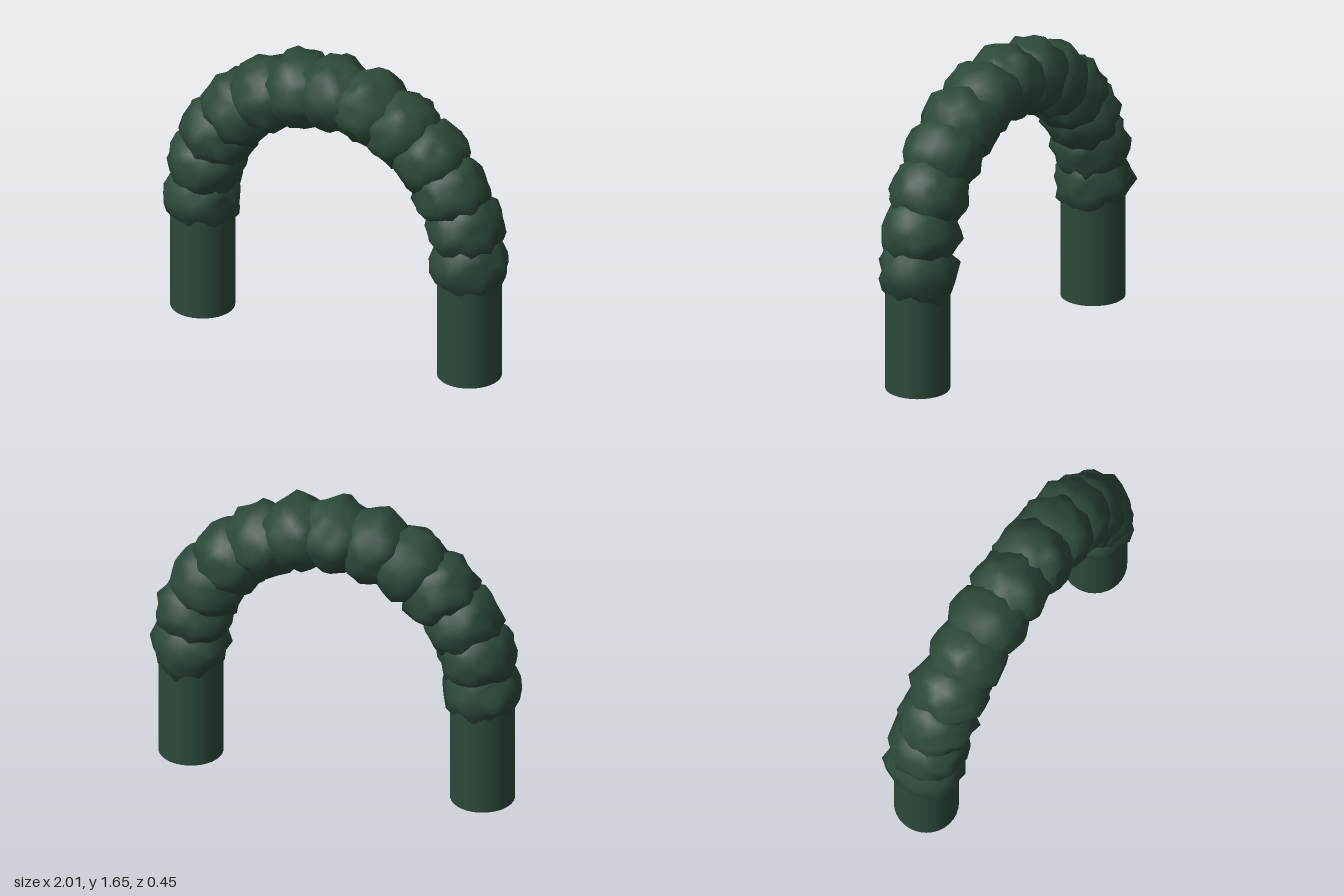
import * as THREE from 'three';
import { mergeVertices } from 'three/addons/utils/BufferGeometryUtils.js';

const ARCH_RADIUS = 0.795, SPRING_Y = 0.655, COUNT = 13;

// Lumpy clump of leaves: a sphere pushed in and out by layered waves
function clumpGeometry(seed) {
  let geo = new THREE.IcosahedronGeometry(1, 3);
  geo.deleteAttribute('uv');
  geo.deleteAttribute('normal');
  geo = mergeVertices(geo, 1e-4);
  const pos = geo.attributes.position, v = new THREE.Vector3();
  for (let i = 0; i < pos.count; i++) {
    v.fromBufferAttribute(pos, i).normalize();
    const wave = Math.sin(v.x * 7 + seed * 1.7) * Math.sin(v.y * 7 + seed * 2.3)
      + Math.sin(v.y * 8 + seed) * Math.sin(v.z * 7 + seed * 0.6)
      + Math.sin(v.z * 8 + seed * 3.1) * Math.sin(v.x * 8 + seed * 0.9);
    v.multiplyScalar(0.202 + 0.012 * wave);
    pos.setXYZ(i, v.x, v.y, v.z);
  }
  geo.computeVertexNormals();
  return geo;
}

export function createModel() {
  const group = new THREE.Group();
  group.name = 'hedgeArch';
  const leaf = new THREE.MeshStandardMaterial({ color: 0x2d4a3a });
  leaf.name = 'darkGreenLeaf';

  // Clipped upright columns
  for (const side of [-1, 1]) {
    const column = new THREE.Mesh(new THREE.CylinderGeometry(0.17, 0.17, SPRING_Y, 32), leaf);
    column.name = side > 0 ? 'leftColumn' : 'rightColumn';
    column.position.set(side * ARCH_RADIUS, SPRING_Y / 2, 0);
    group.add(column);
  }

  // Half ring of overlapping clumps
  for (let i = 0; i < COUNT; i++) {
    const a = Math.PI * i / (COUNT - 1);
    const clump = new THREE.Mesh(clumpGeometry(i * 1.37 + 0.5), leaf);
    clump.name = `archClump${i + 1}`;
    clump.position.set(ARCH_RADIUS * Math.cos(a), SPRING_Y + ARCH_RADIUS * Math.sin(a), 0);
    clump.rotation.z = a;
    clump.scale.z = 1.02;
    group.add(clump);
  }
  return group;
}
